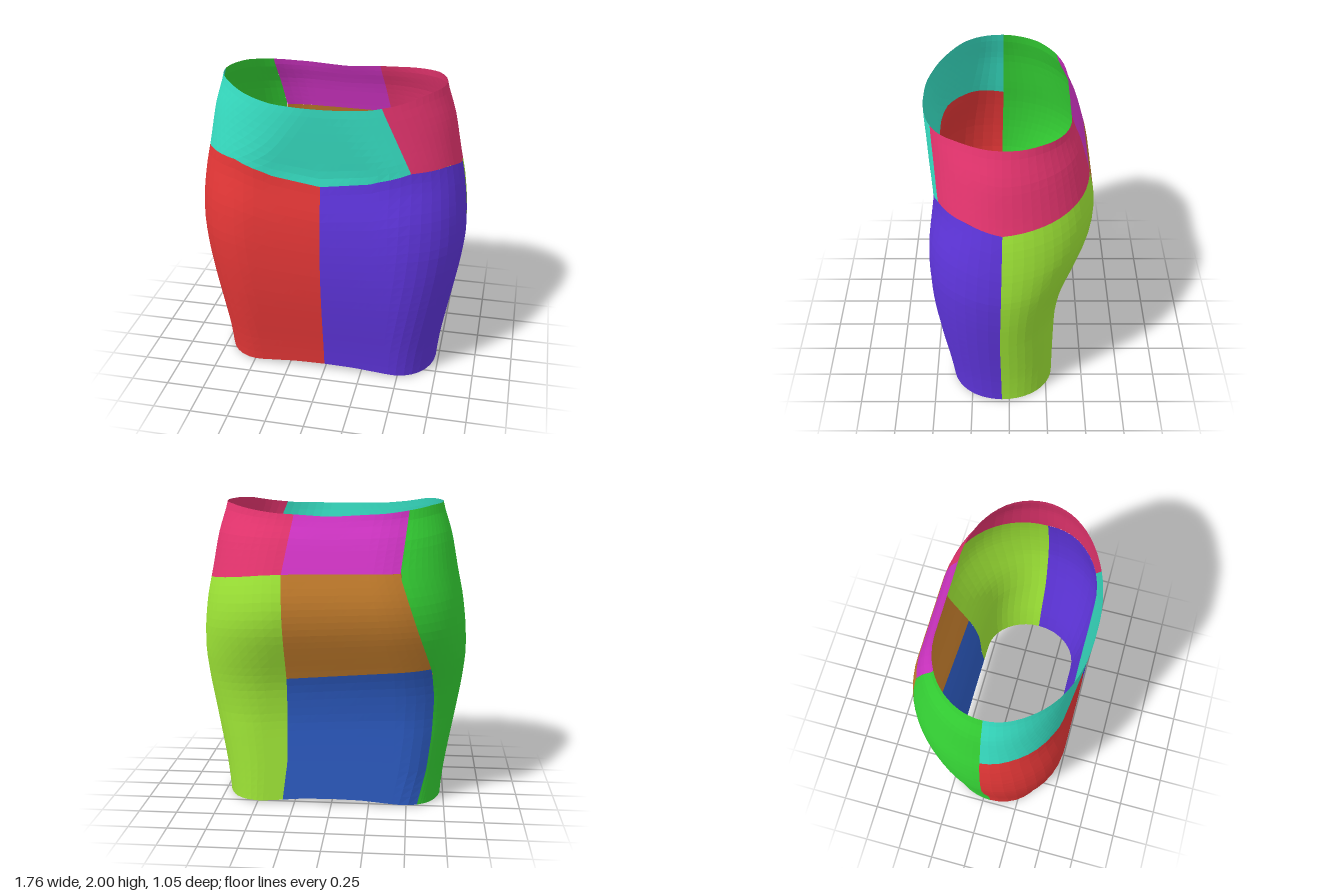
import * as THREE from 'three';

// Piecewise linear lookup in a list of [key, value]
function lin(t, k) {
  if (k <= t[0][0]) return t[0][1];
  for (let i = 1; i < t.length; i++) {
    if (k <= t[i][0]) {
      const [k0, v0] = t[i - 1], [k1, v1] = t[i];
      return v0 + (v1 - v0) * (k - k0) / (k1 - k0);
    }
  }
  return t[t.length - 1][1];
}

// Same lookup, rounded off with a small moving average
const smooth = (t, k) => (lin(t, k - 0.06) + 2 * lin(t, k) + lin(t, k + 0.06)) / 4;

// Body profile by height: half width, front and back depth, side seam depth,
// and half width of the flat middle at front and back
const WIDTH = [[0, 0.728], [0.2, 0.75], [0.4, 0.785], [0.6, 0.822], [0.8, 0.857], [1, 0.88], [1.2, 0.873],
  [1.4, 0.847], [1.54, 0.815], [1.8, 0.767], [2, 0.7]];
const FRONT = [[0, 0.375], [0.2, 0.405], [0.4, 0.442], [0.6, 0.475], [0.8, 0.497], [1, 0.506], [1.2, 0.5],
  [1.4, 0.468], [1.48, 0.46], [1.6, 0.48], [1.8, 0.51], [1.95, 0.53]];
const BACK = [[0, -0.29], [0.4, -0.295], [0.6, -0.3], [0.8, -0.335], [0.9, -0.37], [1, -0.415], [1.1, -0.46],
  [1.2, -0.502], [1.3, -0.524], [1.4, -0.53], [1.5, -0.512], [1.6, -0.487], [1.8, -0.43], [1.93, -0.365]];
const SIDE = [[0, 0.05], [0.6, 0.06], [1.5, 0.04], [2, 0.04]];
const FLAT_FRONT = [[0, 0.45], [1, 0.46], [1.3, 0.42], [1.54, 0.34], [1.8, 0.12], [2, 0]];
const FLAT_BACK = [[0, 0.45], [0.5, 0.45], [0.9, 0.4], [1.4, 0.28], [2, 0.25]];

function section(y, back) {
  const w = smooth(WIDTH, y), f = smooth(back ? FLAT_BACK : FLAT_FRONT, y), zc = lin(SIDE, y);
  return { w, f, zc, d: smooth(back ? BACK : FRONT, y) - zc, split: f / (f + 1.2 * (w - f)) };
}

// Position s runs round the body: 0 front centre, 1 left side, 2 back centre, 3 or -1 right side
function surface(s, y) {
  if (s > 2) s -= 4;
  const back = Math.abs(s) > 1, q = back ? 2 - Math.abs(s) : Math.abs(s);
  const { w, f, zc, d, split } = section(y, back);
  const a = Math.max(0, (q - split) / (1 - split)) * Math.PI / 2;
  const x = q < split ? f * q / split : f + (w - f) * Math.sin(a);
  return [Math.sign(s) * x, y, zc + d * Math.cos(a)];
}

// Distance from the front or back centre (0 to 1) of a point at half width x
function along(x, y, back) {
  const { w, f, split } = section(y, back);
  if (x < f) return x / f * split;
  return split + (1 - split) * Math.asin(Math.min(1, (x - f) / (w - f))) * 2 / Math.PI;
}

// Upright seams: s as a function of y
const centre = () => 0, leftSide = () => 1, rightSide = () => -1, rightSideBack = () => 3;
const yokeSeam = (y) => along(lin([[1.54, 0.55], [1.95, 0.37]], y), y, false);
const backLeft = (y) => 2 - along(lin([[0, 0.33], [0.3, 0.29], [0.89, 0.28], [1.58, 0.29], [1.95, 0.22]], y), y, true);
const backRight = (y) => 2 + along(lin([[0, 0.57], [0.25, 0.63], [0.5, 0.66], [0.75, 0.67], [0.95, 0.65],
  [1.58, 0.44], [1.97, 0.49]], y), y, true);

// Cross seams and edges: y as a function of s, with the mirrored ones folded onto 0..2
const fold = (s) => Math.abs(s > 2 ? s - 4 : s);
const hem = (s) => lin([[0, 0.045], [0.25, 0.041], [0.55, 0.02], [0.8, 0.003], [1, 0], [1.2, 0.002],
  [1.5, 0.02], [1.75, 0.038], [2, 0.042]], fold(s));
const rim = (s) => lin([[0, 1.943], [0.28, 1.946], [0.45, 1.965], [0.64, 1.995], [0.75, 2], [1, 1.997],
  [1.25, 1.988], [1.6, 1.945], [2, 1.925]], fold(s));
const waistFront = (s) => lin([[0, 1.42], [0.33, 1.465], [0.56, 1.54], [0.8, 1.535], [1, 1.49]], fold(s));
const waistBack = (s) => lin([[1, 1.49], [1.3, 1.53], [1.6, 1.575], [1.75, 1.583], [2.5, 1.592]], s);
const hipSeam = (s) => lin([[1.7, 0.887], [2.63, 0.963]], s);

// Cloth panel filling the space between two upright seams and two cross seams
function panel(name, color, start, end, bottom, top, nu, nv) {
  const pos = [], idx = [];
  for (let j = 0; j <= nv; j++) {
    for (let i = 0; i <= nu; i++) {
      const u = i / nu, v = j / nv;
      let y = bottom(0) * (1 - v) + top(0) * v, s = 0;
      for (let n = 0; n < 15; n++) {
        s = start(y) * (1 - u) + end(y) * u;
        y = bottom(s) * (1 - v) + top(s) * v;
      }
      pos.push(...surface(s, y));
      if (i < nu && j < nv) {
        const a = j * (nu + 1) + i, b = a + 1, c = b + nu + 1, d = a + nu + 1;
        idx.push(a, b, c, a, c, d);
      }
    }
  }
  const geo = new THREE.BufferGeometry();
  geo.setAttribute('position', new THREE.Float32BufferAttribute(pos, 3));
  geo.setIndex(idx);
  geo.computeVertexNormals();
  const mesh = new THREE.Mesh(geo, new THREE.MeshStandardMaterial({ color, flatShading: true, side: THREE.DoubleSide }));
  mesh.name = name;
  return mesh;
}

export function createModel() {
  const skirt = new THREE.Group();
  skirt.name = 'skirt';
  // Front skirt panels
  skirt.add(panel('frontRightPanel', 0xe53737, rightSide, centre, hem, waistFront, 18, 24));
  skirt.add(panel('frontLeftPanel', 0x5f35dd, centre, leftSide, hem, waistFront, 18, 24));
  // Waist yoke: wide front piece and a wrapped left piece in two parts
  skirt.add(panel('frontYoke', 0x37e0c4, rightSide, yokeSeam, waistFront, rim, 28, 10));
  const leftYoke = new THREE.Group();
  leftYoke.name = 'leftYoke';
  leftYoke.add(panel('leftYokeFront', 0xe83570, yokeSeam, leftSide, waistFront, rim, 12, 10));
  leftYoke.add(panel('leftYokeBack', 0xe83570, leftSide, backLeft, waistBack, rim, 14, 10));
  skirt.add(leftYoke);
  // Back panels
  skirt.add(panel('backYoke', 0xd435c8, backLeft, backRight, waistBack, rim, 16, 10));
  skirt.add(panel('backLeftPanel', 0xa0e837, leftSide, backLeft, hem, waistBack, 14, 28));
  skirt.add(panel('backRightPanel', 0x35d435, backRight, rightSideBack, hem, rim, 14, 34));
  skirt.add(panel('seatPanel', 0xc47d2c, backLeft, backRight, hipSeam, waistBack, 18, 16));
  skirt.add(panel('lowerBackPanel', 0x2d5cc4, backLeft, backRight, hem, hipSeam, 18, 16));
  return skirt;
}
